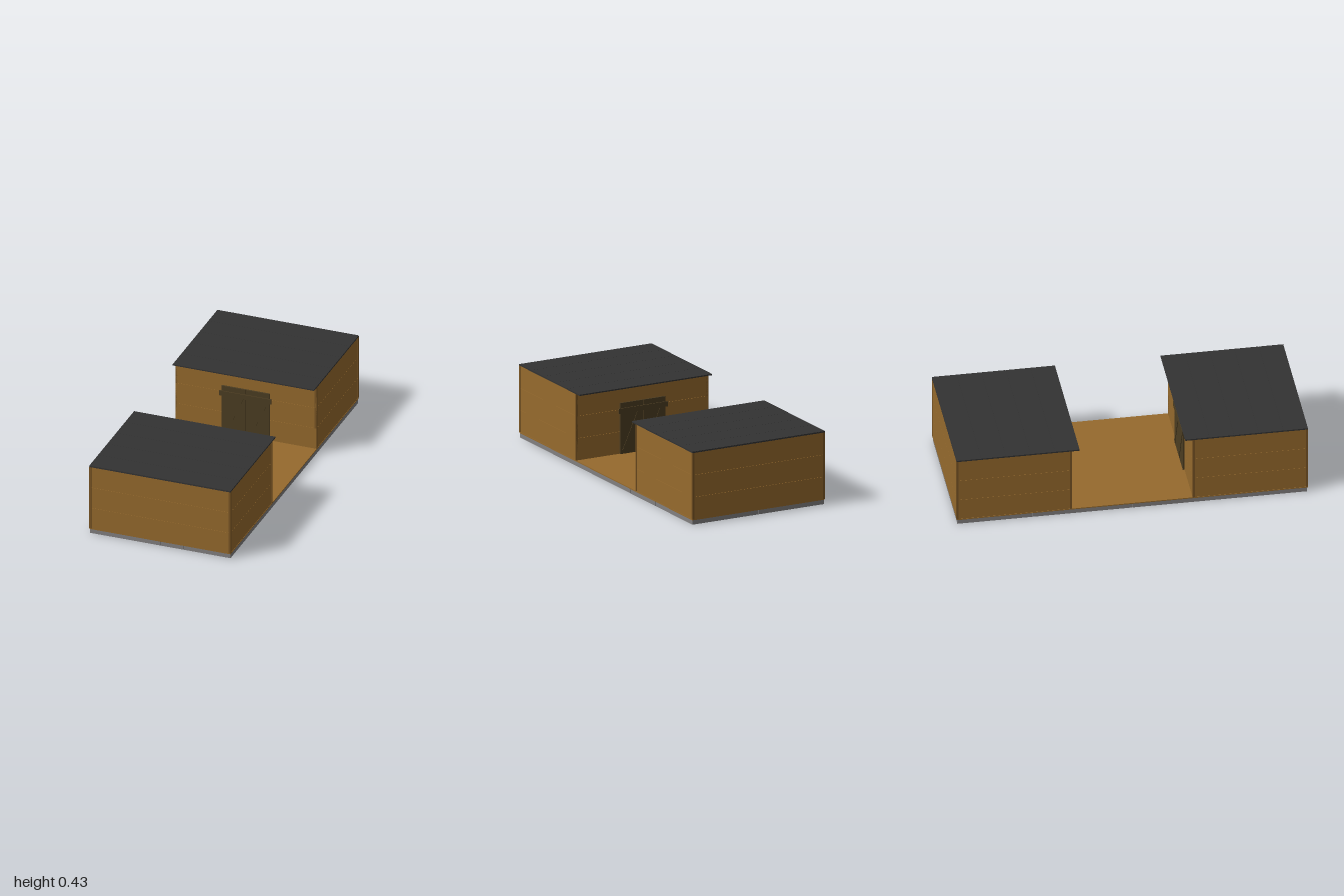
import * as THREE from 'three';

const mat = (color) => new THREE.MeshStandardMaterial({ color, flatShading: true });
const wood = mat(0x966a2d), darkWood = mat(0x7a5524), roofing = mat(0x333333);
const stone = mat(0x828080), doorWood = mat(0x4c3d22);

// Box given by its lower and upper limits on each axis
function block(parent, name, material, [x0, x1], [y0, y1], [z0, z1]) {
  const mesh = new THREE.Mesh(new THREE.BoxGeometry(x1 - x0, y1 - y0, z1 - z0), material);
  mesh.position.set((x0 + x1) / 2, (y0 + y1) / 2, (z0 + z1) / 2);
  mesh.name = name;
  parent.add(mesh);
  return mesh;
}

const HX = 0.425, HZ = 1, FLOOR = 0.032, TOP = 0.42, GAP = 0.001;
const INNER = 0.343, THICK = 0.012;

// Ring of stones with square corner blocks
function createFoundation() {
  const g = new THREE.Group();
  g.name = 'foundation';
  const x = HX - 0.002, z = HZ - 0.005, corner = 0.145, width = 0.045, h = 0.026;
  const span = (s, a, b) => (s > 0 ? [a, b] : [-b, -a]);
  for (const s of [-1, 1]) {
    for (const t of [-1, 1])
      block(g, 'cornerStone', stone, span(s, x - corner, x), [0, h], span(t, z - corner, z));
    const row = (half, count, add) => {
      const step = (2 * half) / count;
      for (let i = 0; i < count; i++) add([-half + i * step + GAP / 2, -half + (i + 1) * step - GAP / 2]);
    };
    row(x - corner, 4, (r) => block(g, 'endStone', stone, r, [0, h], span(s, z - width, z)));
    row(z - corner, 6, (r) => block(g, 'sideStone', stone, span(s, x - width, x), [0, h], r));
  }
  return g;
}

// Pair of braced door leaves under a rail, on the inner wall facing -z
function createDoor() {
  const g = new THREE.Group();
  g.name = 'door';
  const w = 0.145, top = 0.33;
  for (const s of [-1, 1]) {
    const r = s > 0 ? [0.001, w] : [-w, -0.001];
    block(g, 'doorLeaf', doorWood, r, [FLOOR, top], [INNER - 0.01, INNER]);
    const brace = block(g, 'doorBrace', doorWood, [-0.012, 0.012], [-0.125, 0.125], [-0.002, 0.002]);
    brace.position.set((s * w) / 2, 0.16, INNER - 0.011);
    brace.rotation.z = 0.42;
  }
  block(g, 'doorRail', doorWood, [-w - 0.012, w + 0.012], [0.27, 0.3], [INNER - 0.016, INNER - 0.008]);
  return g;
}

// Cabin at the +z end, its door facing the courtyard
function createCabin() {
  const g = new THREE.Group();
  g.name = 'cabin';
  const x = HX - 0.002, z = HZ - 0.002;
  // Walls in three board courses
  const course = (TOP - FLOOR) / 3;
  for (let i = 0; i < 3; i++) {
    const y = [FLOOR + i * course, FLOOR + (i + 1) * course - (i < 2 ? GAP : 0)];
    block(g, 'outerWall', wood, [-x, x], y, [z - THICK, z]);
    block(g, 'innerWall', wood, [-x, x], y, [INNER, INNER + THICK]);
    for (const s of [-1, 1])
      block(g, 'sideWall', wood, s > 0 ? [x - THICK, x] : [-x, THICK - x], y, [INNER + THICK, z - THICK]);
  }
  // Corner posts
  for (const s of [-1, 1])
    for (const zz of [INNER + 0.006, HZ - 0.006])
      block(g, 'cornerPost', darkWood, [s * (HX - 0.006) - 0.006, s * (HX - 0.006) + 0.006],
        [FLOOR, TOP], [zz - 0.006, zz + 0.006]);
  // Flat roof of five boards, overhanging the door side, over a thin lining
  block(g, 'roofLining', roofing, [-HX, HX], [TOP, 0.424], [0.302, HZ]);
  for (let i = 0; i < 5; i++)
    block(g, 'roofBoard', roofing, [-HX, HX], [0.424, 0.428], [0.3 + i * 0.14, 0.3 + (i + 1) * 0.14 - GAP]);
  g.add(createDoor());
  return g;
}

export function createModel() {
  const model = new THREE.Group();
  model.name = 'twinCabins';
  model.add(createFoundation());
  // Floor deck
  block(model, 'floor', wood, [-HX, HX], [0.026, FLOOR], [-HZ + 0.002, HZ - 0.002]);
  // Two facing cabins
  for (const turn of [0, Math.PI]) {
    const cabin = createCabin();
    cabin.rotation.y = turn;
    model.add(cabin);
  }
  return model;
}
